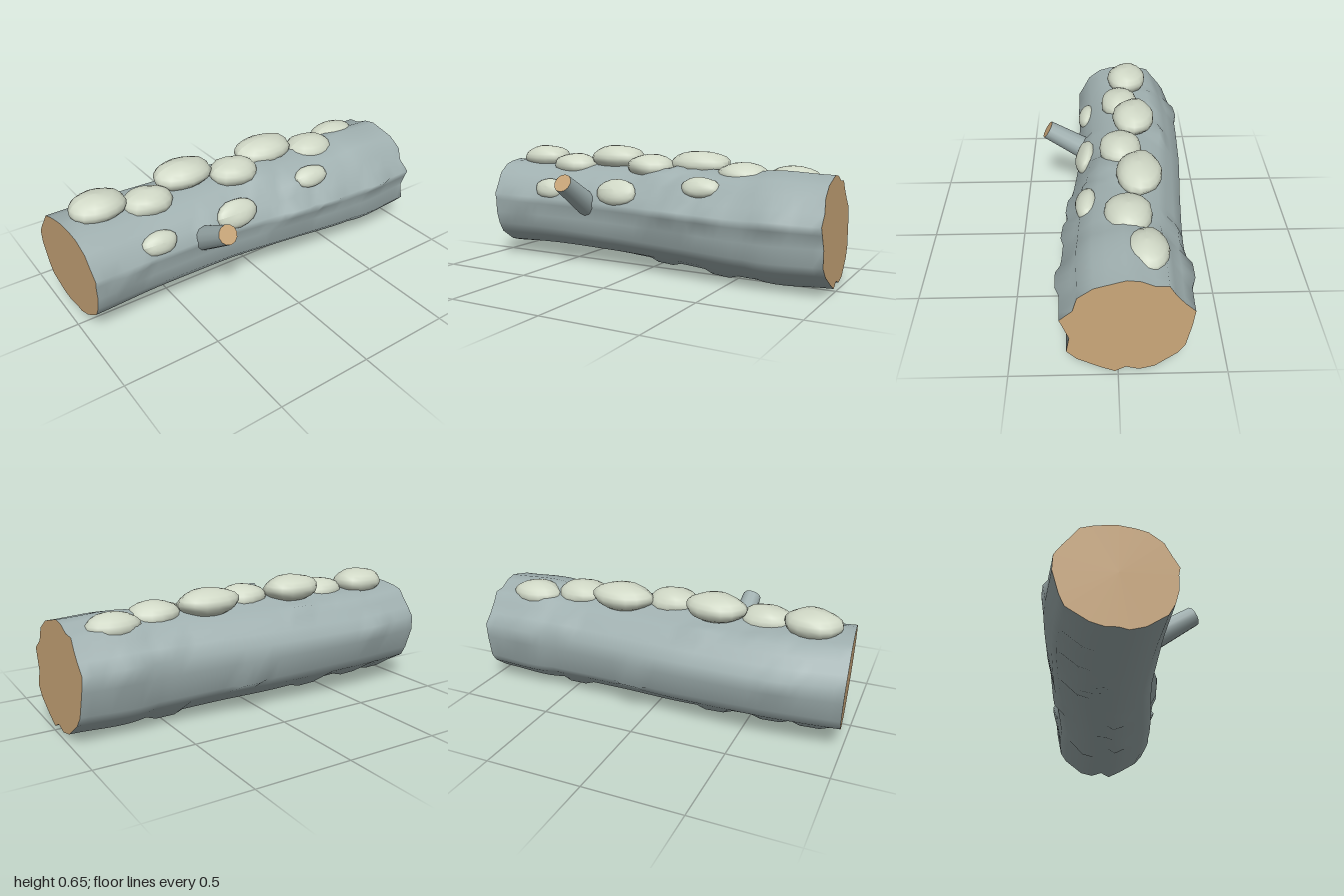
import * as THREE from 'three';

const V3 = THREE.Vector3;
const bark = new THREE.MeshStandardMaterial({ name: 'grey bark', color: 0xa0b0b0 });
const wood = new THREE.MeshStandardMaterial({ name: 'cut wood', color: 0xc8a578 });
const moss = new THREE.MeshStandardMaterial({ name: 'pale moss', color: 0xd0d8c6 });

function seeded(seed) {
  return () => {
    seed = (seed * 16807) % 2147483647;
    return seed / 2147483647;
  };
}

// Ragged outline of the cut end, as [z, y]
const outline = [
  [.25, .35], [.19, .40], [.17, .47], [.10, .52], [.04, .535], [-.04, .555],
  [-.10, .545], [-.16, .515], [-.22, .51], [-.25, .46], [-.29, .41], [-.34, .36],
  [-.33, .28], [-.305, .16], [-.27, .11], [-.17, .035], [-.10, .02], [-.04, .04],
  [.01, .015], [.08, .05], [.18, .11], [.225, .16], [.21, .24], [.235, .31],
].map(([z, y]) => [(z + .045) / .295, (y - .28) / .265]);

// Centre and half size (y, z) at even stations from left to right
const centres = new THREE.CatmullRomCurve3([
  [.30, -.075], [.295, -.10], [.29, -.095], [.285, -.06], [.278, -.035], [.28, -.04],
].map(([y, z]) => new V3(0, y, z)));
const sizes = new THREE.CatmullRomCurve3([
  [.25, .275], [.24, .285], [.248, .28], [.255, .288], [.265, .295], [.265, .295],
].map(([y, z]) => new V3(0, y, z)));

const SIDES = outline.length;
const RINGS = 40;

function logRings() {
  const rand = seeded(77);
  const phase = outline.map(() => rand() * 6.28);

  // Short raised bark flakes, each on one ridge for a few rings
  const raised = new Set();
  for (let n = 0; n < 30; n++) {
    const side = Math.floor(rand() * SIDES);
    const start = 2 + Math.floor(rand() * (RINGS - 7));
    for (let k = 0; k < 3; k++) raised.add(side + (start + k) * SIDES);
  }

  const rings = [];
  for (let j = 0; j <= RINGS; j++) {
    const t = j / RINGS;
    const c = centres.getPoint(t);
    const s = sizes.getPoint(t);
    const ragged = .4 + .6 * t * t;
    rings.push(outline.map(([oz, oy], i) => {
      const radius = Math.hypot(oz, oy);
      let k = THREE.MathUtils.lerp(1, radius, ragged) / radius;
      k *= 1 + .025 * (1 - t * t) * Math.sin(phase[i] + t * 5);
      if (raised.has(i + j * SIDES)) k += .06;
      const dy = oy * k * s.y;
      const dz = oz * k * s.z;
      // Both saw cuts are slightly slanted
      const left = -.975 + .09 * dz - .03 * dy;
      const right = .98 + .05 * dz - .04 * dy;
      return new V3(THREE.MathUtils.lerp(left, right, t), c.y + dy, c.z + dz);
    }));
  }
  return rings;
}

function barkGeometry(rings) {
  const index = [];
  for (let j = 0; j < RINGS; j++) {
    for (let i = 0; i < SIDES; i++) {
      const n = (i + 1) % SIDES;
      const a = j * SIDES + i, b = a + SIDES;
      const c = (j + 1) * SIDES + n, d = j * SIDES + n;
      index.push(a, b, c, a, c, d);
    }
  }
  const geo = new THREE.BufferGeometry().setFromPoints(rings.flat());
  geo.setIndex(index);
  geo.computeVertexNormals();
  return geo;
}

function capGeometry(ring, facesRight) {
  const centre = ring.reduce((sum, p) => sum.add(p), new V3()).divideScalar(SIDES);
  const index = [];
  for (let i = 0; i < SIDES; i++) {
    const n = (i + 1) % SIDES;
    index.push(SIDES, facesRight ? n : i, facesRight ? i : n);
  }
  const geo = new THREE.BufferGeometry().setFromPoints([...ring, centre]);
  geo.setIndex(index);
  geo.computeVertexNormals();
  return geo;
}

// Lumpy flattened ball; tilt leans its flat axis from up toward the front
function mossClump(x, y, z, rx, ry, rz, tilt, seed) {
  const geo = new THREE.SphereGeometry(1, 16, 10);
  const pos = geo.attributes.position;
  const p = new V3();
  for (let i = 0; i < pos.count; i++) {
    p.fromBufferAttribute(pos, i);
    const lump = Math.sin(p.x * 4 + seed) * Math.sin(p.y * 3 + seed * 2) * Math.cos(p.z * 4 + seed);
    p.multiplyScalar(1 + .06 * lump);
    pos.setXYZ(i, p.x * rx, p.y * ry, p.z * rz);
  }
  geo.computeVertexNormals();
  const mesh = new THREE.Mesh(geo, moss);
  mesh.position.set(x, y, z);
  mesh.rotation.x = tilt;
  return mesh;
}

export function createModel() {
  const model = new THREE.Group();
  model.name = 'mossyLog';
  const add = (name, mesh) => {
    mesh.name = name;
    model.add(mesh);
  };

  // Trunk and its two cut ends
  const rings = logRings();
  add('barkTrunk', new THREE.Mesh(barkGeometry(rings), bark));
  add('rightCutEnd', new THREE.Mesh(capGeometry(rings[RINGS], true), wood));
  add('leftCutEnd', new THREE.Mesh(capGeometry(rings[0], false), wood));

  // Sawn branch stub leaning up and forward
  const base = new V3(-.34, .32, .11);
  const tip = new V3(-.34, .48, .36);
  const stub = new THREE.Mesh(
    new THREE.CylinderGeometry(.05, .065, base.distanceTo(tip), 12), [bark, wood, bark]);
  stub.position.copy(base).lerp(tip, .5);
  stub.quaternion.setFromUnitVectors(new V3(0, 1, 0), tip.clone().sub(base).normalize());
  add('branchStub', stub);

  // Moss along the top: x, z, half length, half width, top height
  [
    [-.785, -.10, .145, .115, .635], [-.545, -.05, .135, .105, .60],
    [-.30, -.12, .16, .115, .65], [-.04, -.04, .135, .11, .615],
    [.215, -.125, .17, .115, .635], [.49, -.06, .14, .115, .592],
    [.735, -.13, .14, .105, .58],
  ].forEach(([x, z, rx, rz, top], i) =>
    add('topMoss' + (i + 1), mossClump(x, top - .07, z, rx, .07, rz, 0, i * 1.7 + 1)));

  // Moss on the front flank: x, y, z, half length, half height, tilt
  [
    [-.59, .41, .145, .095, .06, 1.06], [-.145, .42, .15, .12, .075, 1.05],
    [.345, .475, .142, .105, .06, .76],
  ].forEach(([x, y, z, rx, rz, tilt], i) =>
    add('frontMoss' + (i + 1), mossClump(x, y, z, rx, .042, rz, tilt, i * 2.3 + 2)));

  return model;
}
